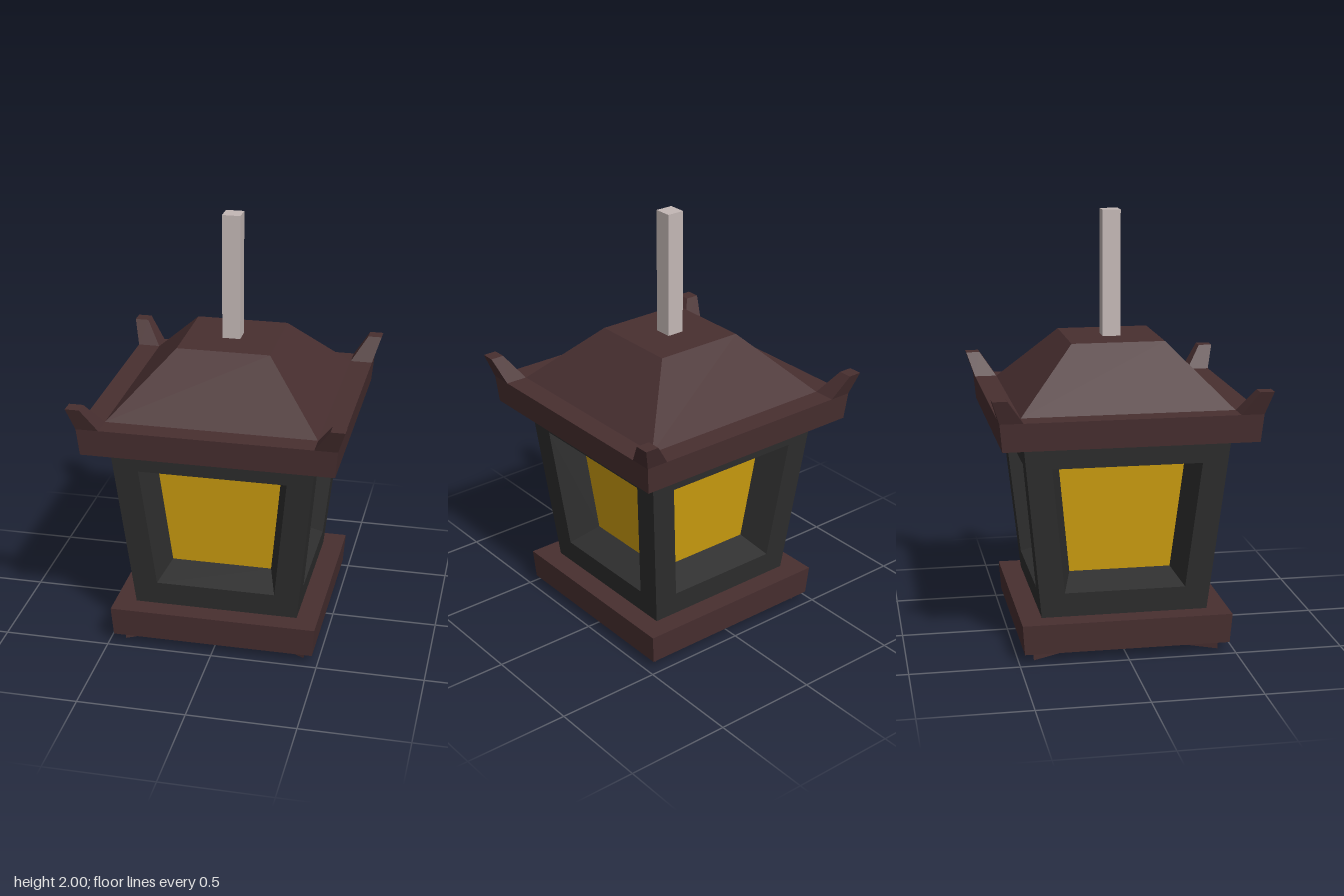
import * as THREE from 'three';

const material = (name, color) => {
  const m = new THREE.MeshStandardMaterial({ color });
  m.name = name;
  return m;
};

// Square block tapering from half-width hb at y0 to ht at y1; the ends may be
// shifted outward along the diagonal by sb and st.
function taperedBlock(hb, ht, y0, y1, sb = 0, st = 0) {
  const g = new THREE.BoxGeometry(2, 2, 2);
  const p = g.attributes.position;
  for (let i = 0; i < p.count; i++) {
    const top = p.getY(i) > 0;
    const h = top ? ht : hb, s = top ? st : sb;
    p.setXYZ(i, p.getX(i) * h + s, top ? y1 : y0, p.getZ(i) * h + s);
  }
  g.computeVertexNormals();
  return g;
}

// Trapezoid corners, counter-clockwise seen from +z
const trapezoid = (wb, wt, y0, y1, zb, zt) =>
  [[-wb, y0, zb], [wb, y0, zb], [wt, y1, zt], [-wt, y1, zt]];

function quads(list) {
  const pos = [];
  for (const [a, b, c, d] of list) pos.push(...a, ...b, ...c, ...a, ...c, ...d);
  const g = new THREE.BufferGeometry();
  g.setAttribute('position', new THREE.Float32BufferAttribute(pos, 3));
  g.computeVertexNormals();
  return g;
}

// Four quads joining an outer trapezoid to an inner one
const ring = (o, n) => o.map((_, i) => {
  const j = (i + 1) % 4;
  return [o[i], o[j], n[j], n[i]];
});

export function createModel() {
  const model = new THREE.Group();
  model.name = 'hangingLantern';
  const wood = material('dark red wood', 0x482f30);
  const iron = material('charcoal frame', 0x2e2e2e);
  const glow = material('amber glass', 0xd0a010);
  const steel = material('pale grey rod', 0xc4b8b6);

  const add = (name, geometry, mat, turn = 0) => {
    const mesh = new THREE.Mesh(geometry, mat);
    mesh.name = name;
    mesh.rotation.y = turn * Math.PI / 2;
    model.add(mesh);
  };

  // Base, roof and hanging rod
  add('base', taperedBlock(0.475, 0.485, 0.045, 0.185), wood);
  add('eaves', taperedBlock(0.575, 0.587, 1.015, 1.143), wood);
  add('roof', taperedBlock(0.482, 0.215, 1.143, 1.417), wood);
  add('hangingRod', taperedBlock(0.042, 0.042, 1.4, 2), steel);

  // One wall with its sloping recess and glass pane
  const outer = trapezoid(0.385, 0.47, 0.185, 1.015, 0.385, 0.47);
  const opening = trapezoid(0.28, 0.342, 0.3, 0.9, 0.397, 0.458);
  const pane = trapezoid(0.237, 0.29, 0.358, 0.865, 0.253, 0.305);
  const wall = quads([...ring(outer, opening), ...ring(opening, pane)]);
  const glass = quads([pane]);

  // Upswept corner horn
  const horn = taperedBlock(0.0525, 0.0325, 1.14, 1.25, 0.5335, 0.589);

  // Small three-sided foot pointing to the corner
  const footShape = new THREE.Shape([
    new THREE.Vector2(0.43, 0.43), new THREE.Vector2(0.3, 0.36), new THREE.Vector2(0.36, 0.3),
  ]);
  const foot = new THREE.ExtrudeGeometry(footShape, { depth: 0.05, bevelEnabled: false });
  foot.rotateX(-Math.PI / 2);

  for (let k = 0; k < 4; k++) {
    add('wall', wall, iron, k);
    add('glassPane', glass, glow, k);
    add('cornerHorn', horn, wood, k);
    add('foot', foot, wood, k);
  }
  return model;
}
